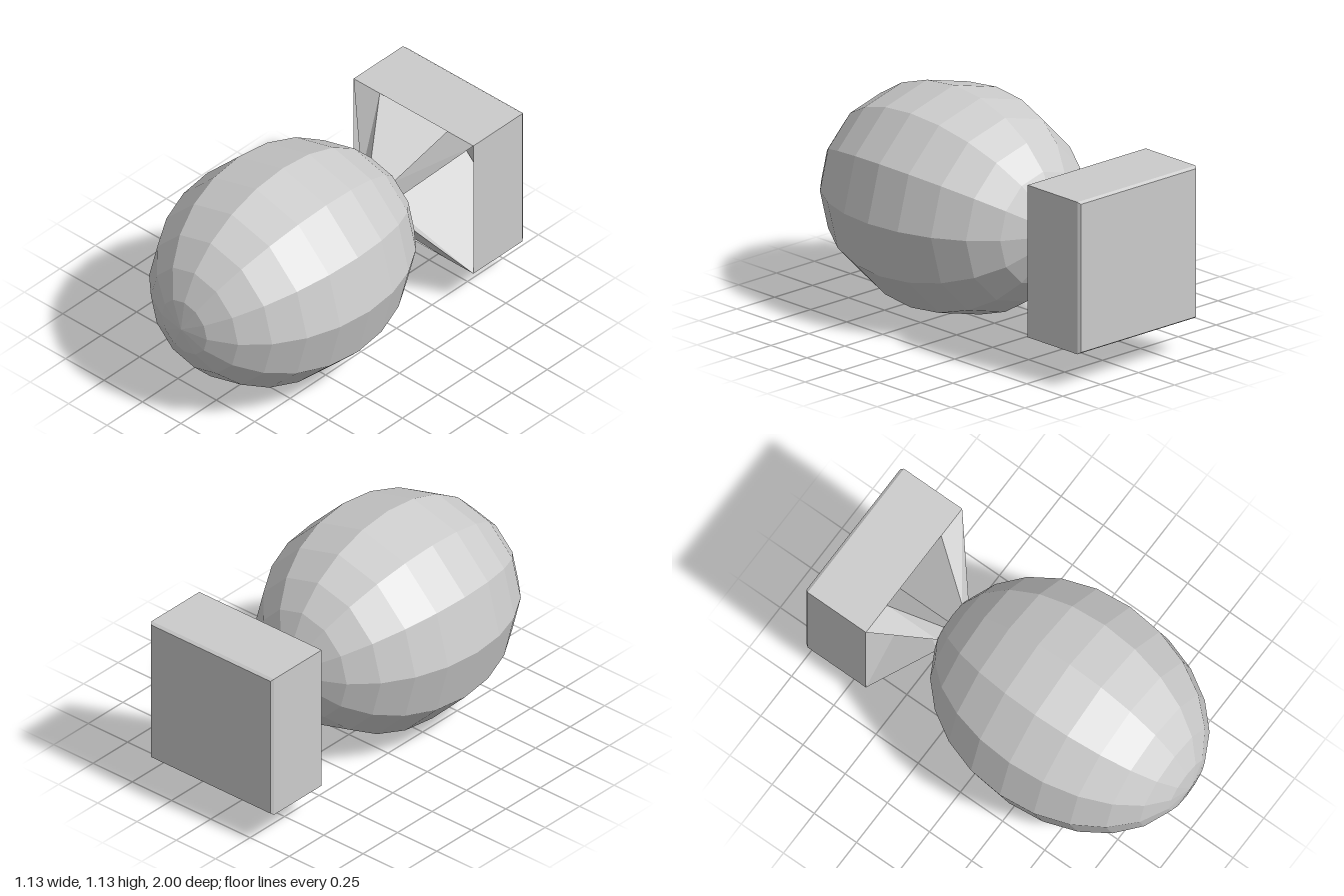
import * as THREE from 'three';

const CY = 0.57; // height of the long axis

// Skin a closed surface between matching rings [[x, y, z], ...], listed front to back
function loft(rings, capBack) {
  const pos = [];
  const n = rings[0].length;
  for (let r = 0; r < rings.length - 1; r++) {
    const a = rings[r], b = rings[r + 1];
    for (let i = 0; i < n; i++) {
      const j = (i + 1) % n;
      pos.push(...a[i], ...b[i], ...a[j], ...a[j], ...b[i], ...b[j]);
    }
  }
  if (capBack) {
    const e = rings[rings.length - 1];
    for (let i = 1; i < n - 1; i++) pos.push(...e[0], ...e[i + 1], ...e[i]);
  }
  const g = new THREE.BufferGeometry();
  g.setAttribute('position', new THREE.Float32BufferAttribute(pos, 3));
  g.computeVertexNormals();
  return g;
}

export function createModel() {
  const model = new THREE.Group();
  model.name = 'finnedBomb';
  const solid = new THREE.MeshStandardMaterial({ color: 0xcccccc, flatShading: true });
  const sheet = new THREE.MeshStandardMaterial({ color: 0xcccccc, flatShading: true, side: THREE.DoubleSide });

  const add = (name, geometry, material) => {
    const mesh = new THREE.Mesh(geometry, material);
    mesh.name = name;
    mesh.position.y = CY;
    model.add(mesh);
    return mesh;
  };

  // Egg-shaped faceted body, poles on the z axis
  const body = new THREE.SphereGeometry(1, 12, 12);
  body.rotateX(Math.PI / 2);
  body.scale(0.567, 0.567, 0.717);
  add('body', body, solid).position.z = 0.283;

  // Square tail box, open at the front, closed and slightly bevelled at the back
  const square = (w, h, z) => [[w, -h, z], [w, h, z], [-w, h, z], [-w, -h, z]];
  add('tailBox', loft([
    square(0.39, 0.385, -0.64),
    square(0.39, 0.385, -0.985),
    square(0.38, 0.375, -1),
  ], true), sheet);

  // Four wedge fins from the body's rear ring out to the box corners
  for (const sx of [1, -1]) {
    for (const sy of [1, -1]) {
      const wedge = (ax, ay, bx, by, z) => {
        const ring = [[0, 0, z], [sx * ax, sy * ay, z], [sx * bx, sy * by, z]];
        return sx * sy > 0 ? ring : ring.reverse();
      };
      const name = (sy > 0 ? 'upper' : 'lower') + (sx > 0 ? 'Left' : 'Right') + 'Fin';
      add(name, loft([
        wedge(0.127, 0.073, 0.073, 0.127, -0.41),
        wedge(0.39, 0.385, 0.22, 0.385, -0.64),
        wedge(0.388, 0.383, 0.22, 0.383, -0.985),
      ], false), sheet);
    }
  }
  return model;
}
